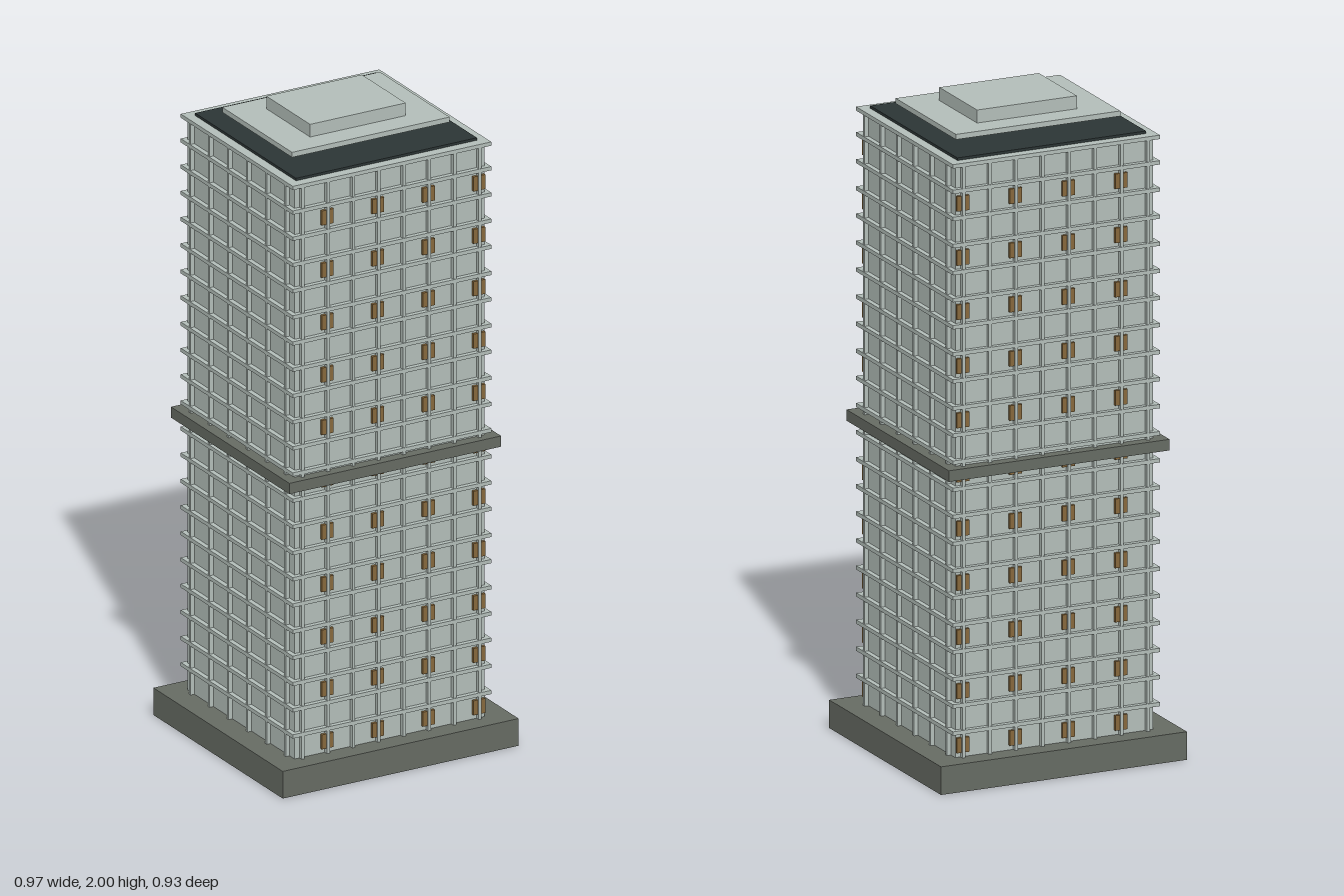
import * as THREE from 'three';

export function createModel() {
  const model = new THREE.Group();
  model.name = 'towerBlock';
  const mat = (name, color) => {
    const m = new THREE.MeshStandardMaterial({ color });
    m.name = name;
    return m;
  };
  const concrete = mat('pale concrete', 0xb3beb9);
  const stone = mat('dark stone', 0x666b63);
  const roofing = mat('roof felt', 0x2c3535);
  const bronze = mat('bronze panel', 0x86683c);

  // The whole building is turned slightly on its plot
  const tower = new THREE.Group();
  tower.name = 'tower';
  tower.rotation.y = -THREE.MathUtils.degToRad(15);
  model.add(tower);

  // Box given by its size, bottom height and centre in plan
  const box = (name, material, w, h, d, y, x = 0, z = 0) => {
    const mesh = new THREE.Mesh(new THREE.BoxGeometry(w, h, d), material);
    mesh.name = name;
    mesh.position.set(x, y + h / 2, z);
    tower.add(mesh);
  };

  const W = 0.645, D = 0.617, top = 1.91, base = 0.087, floor = 0.083;

  // Main masses
  box('plinth', stone, 0.802, base - 0.001, 0.747, 0.001);
  box('body', concrete, W, top, D, 0);
  box('middleBelt', stone, 0.72, 0.034, 0.684, 0.946);
  box('roofDeck', roofing, 0.615, 0.008, 0.583, top);
  box('roofCanopy', concrete, 0.536, 0.016, 0.403, 1.944);
  box('roofCap', concrete, 0.325, 0.04, 0.253, 1.96);

  // Floor ledges running round the body, and the parapet
  for (let k = 1; k <= 21; k++) {
    box('floorLedge', concrete, W + 0.03, 0.012, D + 0.03, 0.077 + k * floor);
  }
  box('parapet', concrete, W + 0.03, 0.012, D + 0.03, top - 0.012);

  for (const s of [-1, 1]) {
    // Vertical fins on the front and back
    for (let i = 0; i < 8; i++) {
      const x = (i - 3.5) * 0.086;
      box('facadeFin', concrete, 0.01, top - base, 0.013, base, x, s * (D / 2 + 0.0065));
      // Bronze panels behind every second fin, on every second floor
      if (i % 2 === 0) continue;
      for (let k = 0; k < 11; k++) {
        box('bronzePanel', bronze, 0.04, 0.046, 0.009, 0.102 + k * floor * 2, x, s * (D / 2 + 0.0045));
      }
    }
    // Vertical fins on the two sides
    for (let i = 0; i < 6; i++) {
      box('sideFin', concrete, 0.013, top - base, 0.01, base, s * (W / 2 + 0.0065), (i - 2.5) * 0.11);
    }
  }
  return model;
}
